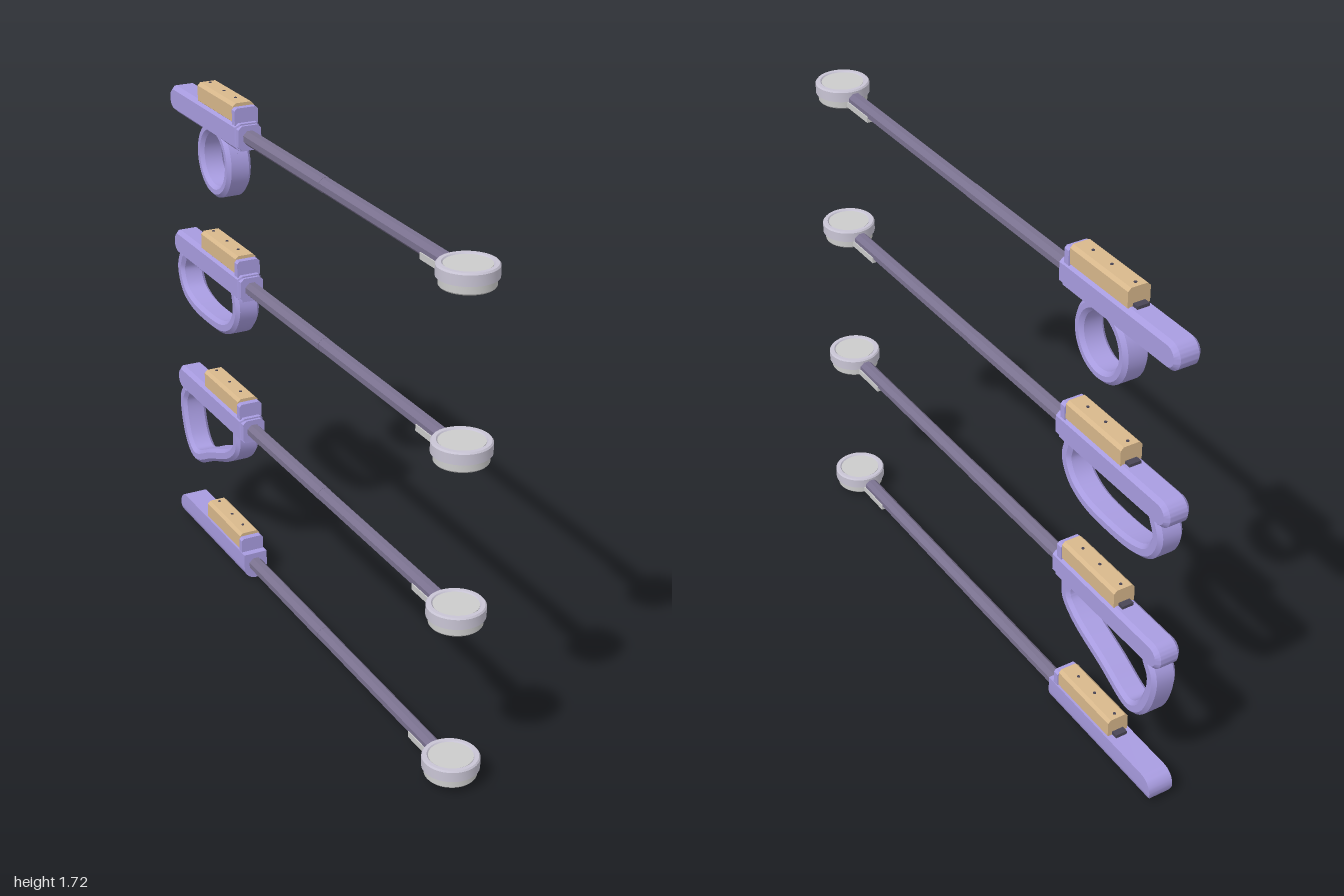
import * as THREE from 'three';
import { toCreasedNormals } from 'three/addons/utils/BufferGeometryUtils.js';

const mat = (color, extra = {}) => new THREE.MeshStandardMaterial({ color, ...extra });
const purple = mat(0xa89ce0);
const tan = mat(0xd8b88c);
const rodMat = mat(0x7b7290, { flatShading: true });
const rimMat = mat(0xc8c4d4);
const grey = mat(0xcccccc);
const dark = mat(0x4a4656);

function add(group, name, geometry, material, x = 0, y = 0, z = 0) {
  const m = new THREE.Mesh(geometry, material);
  m.name = name;
  m.position.set(x, y, z);
  group.add(m);
  return m;
}

// Rectangle with cut corners: half sizes w, h, cut c at the bottom and d at the top
function cutRect(w, h, c, d = c) {
  return new THREE.Shape([
    [-w + c, -h], [w - c, -h], [w, -h + c], [w, h - d],
    [w - d, h], [-w + d, h], [-w, h - d], [-w, -h + c],
  ].map(p => new THREE.Vector2(...p)));
}

// Prism running along z from z0 to z1
function prism(shape, z0, z1) {
  return new THREE.ExtrudeGeometry(shape, { depth: z1 - z0, bevelEnabled: false }).translate(0, 0, z0);
}

// Chamfered bar swept along [z, y] points in the side plane
function sweep(points, halfThick, closed, steps) {
  const path = new THREE.CatmullRomCurve3(points.map(([z, y]) => new THREE.Vector3(0, y, z)), closed);
  const g = new THREE.ExtrudeGeometry(cutRect(0.043, halfThick, 0.012), { steps, extrudePath: path, bevelEnabled: false });
  return toCreasedNormals(g, 0.5);
}

// Straight housing with chamfered sides and a round rear end
function bevelledHousing() {
  const s = new THREE.Shape();
  s.moveTo(-0.45, -0.045);
  s.lineTo(-0.45, 0.046);
  s.lineTo(-0.954, 0.046);
  s.absarc(-0.954, 0.0005, 0.0455, Math.PI / 2, Math.PI * 1.5, false);
  s.closePath();
  const b = 0.013;
  const g = new THREE.ExtrudeGeometry(s, {
    depth: 0.086 - 2 * b, bevelSize: b, bevelThickness: b, bevelOffset: -b, bevelSegments: 1, curveSegments: 12,
  });
  g.translate(0, 0, -0.043 + b).rotateY(-Math.PI / 2);
  return toCreasedNormals(g, 0.5);
}

// Flat-topped round-bellied housing, its rear rounded in side view
function roundHousing() {
  const section = [[0.043, 0.043], [-0.043, 0.043]];
  for (let i = 0; i <= 16; i++) {
    const a = Math.PI * (1 + i / 16);
    section.push([0.043 * Math.cos(a), -0.01 + 0.043 * Math.sin(a)]);
  }
  const rings = [[-0.44, 0.048]];
  for (let k = 0; k <= 8; k++) {
    const t = (k / 8) * Math.PI / 2;
    rings.push([-0.953 - 0.047 * Math.sin(t), 0.048 * Math.cos(t)]);
  }
  const pos = [], idx = [], n = section.length;
  for (const [z, h] of rings)
    for (const [x, y] of section) pos.push(x, THREE.MathUtils.clamp(y, -0.005 - h, -0.005 + h), z);
  for (let k = 0; k < rings.length - 1; k++)
    for (let i = 0; i < n; i++) {
      const a = k * n + i, b = k * n + (i + 1) % n;
      idx.push(a, a + n, b, b, a + n, b + n);
    }
  for (let i = 1; i < n - 1; i++) idx.push(0, i, i + 1);
  const g = new THREE.BufferGeometry();
  g.setAttribute('position', new THREE.Float32BufferAttribute(pos, 3));
  g.setIndex(idx);
  return toCreasedNormals(g, 0.6);
}

// Closed profile turned around the vertical axis
function lathe(points, segments = 40) {
  const g = new THREE.LatheGeometry(points.map(p => new THREE.Vector2(...p)), segments);
  return toCreasedNormals(g, 0.5);
}

// Parts shared by every detector; y = 0 is the axis of the rod
function baseDetector(name) {
  const d = new THREE.Group();
  d.name = name;

  // Two-piece octagonal rod
  [[-0.46, 0.088, 0.0255], [0.088, 0.84, 0.0245]].forEach(([z0, z1, r], i) => {
    const g = new THREE.CylinderGeometry(r, r, z1 - z0, 8).rotateY(Math.PI / 8).rotateX(Math.PI / 2);
    add(d, i ? 'frontRod' : 'rearRod', g, rodMat, 0, 0, (z0 + z1) / 2);
  });

  // Search coil: wide upper rim, recessed top plate, narrower base
  const cz = 0.912;
  add(d, 'coilRim', lathe([[0, -0.002], [0.088, -0.002], [0.088, 0.03], [0.084, 0.035],
    [0.072, 0.035], [0.068, 0.03], [0, 0.03]]), rimMat, 0, 0, cz);
  add(d, 'coilBase', lathe([[0, -0.03], [0.077, -0.03], [0.08, -0.026], [0.08, -0.001], [0, -0.001]]), grey, 0, 0, cz);
  add(d, 'coilTopPlate', new THREE.CylinderGeometry(0.068, 0.068, 0.004, 40), grey, 0, 0.03, cz);

  // Light mounting tongue under the rod tip
  add(d, 'coilMount', new THREE.BoxGeometry(0.052, 0.02, 0.14), grey, 0, -0.014, 0.77);

  // Control box with its front bracket, screws and rear plug
  add(d, 'controlBox', prism(cutRect(0.037, 0.031, 0.002, 0.01), -0.765, -0.487), tan, 0, 0.074, 0);
  add(d, 'boxBracket', prism(cutRect(0.041, 0.028, 0.002, 0.008), -0.487, -0.465), purple, 0, 0.066, 0);
  for (const z of [-0.745, -0.635, -0.545])
    add(d, 'boxScrew', new THREE.CylinderGeometry(0.005, 0.005, 0.003, 10), dark, 0, 0.1055, z);
  add(d, 'boxPlug', new THREE.BoxGeometry(0.04, 0.012, 0.03), dark, 0, 0.05, -0.772);
  return d;
}

export function createModel() {
  const model = new THREE.Group();
  model.name = 'detectorSet';

  const ring = [];
  for (let i = 0; i < 24; i++) {
    const a = 0.4 + (i / 24) * Math.PI * 2;
    ring.push([-0.645 + 0.108 * Math.cos(a), -0.125 + 0.108 * Math.sin(a)]);
  }
  const loop = [[-0.503, -0.03], [-0.492, -0.09], [-0.524, -0.15], [-0.594, -0.188], [-0.717, -0.2],
    [-0.85, -0.19], [-0.92, -0.158], [-0.952, -0.09], [-0.93, -0.03]];
  const slanted = [[-0.508, -0.03], [-0.513, -0.088], [-0.567, -0.139], [-0.717, -0.206], [-0.861, -0.267],
    [-0.914, -0.238], [-0.954, -0.158], [-0.963, -0.078], [-0.936, -0.03]];

  // Bottom to top: plain, slanted grip, loop grip, ring grip
  const variants = [
    ['plainDetector', null],
    ['slantedGripDetector', sweep(slanted, 0.023, false, 48)],
    ['loopGripDetector', sweep(loop, 0.023, false, 48)],
    ['ringGripDetector', sweep(ring, 0.02, true, 48)],
  ];
  variants.forEach(([name, grip], i) => {
    const d = baseDetector(name);
    if (grip) {
      add(d, 'housing', bevelledHousing(), purple);
      add(d, 'housingCollar', prism(cutRect(0.04, 0.041, 0.012), -0.475, -0.44), purple);
      add(d, 'grip', grip, purple);
    } else {
      add(d, 'housing', roundHousing(), purple);
    }
    d.position.y = 0.053 + i * 0.519;
    model.add(d);
  });
  return model;
}
